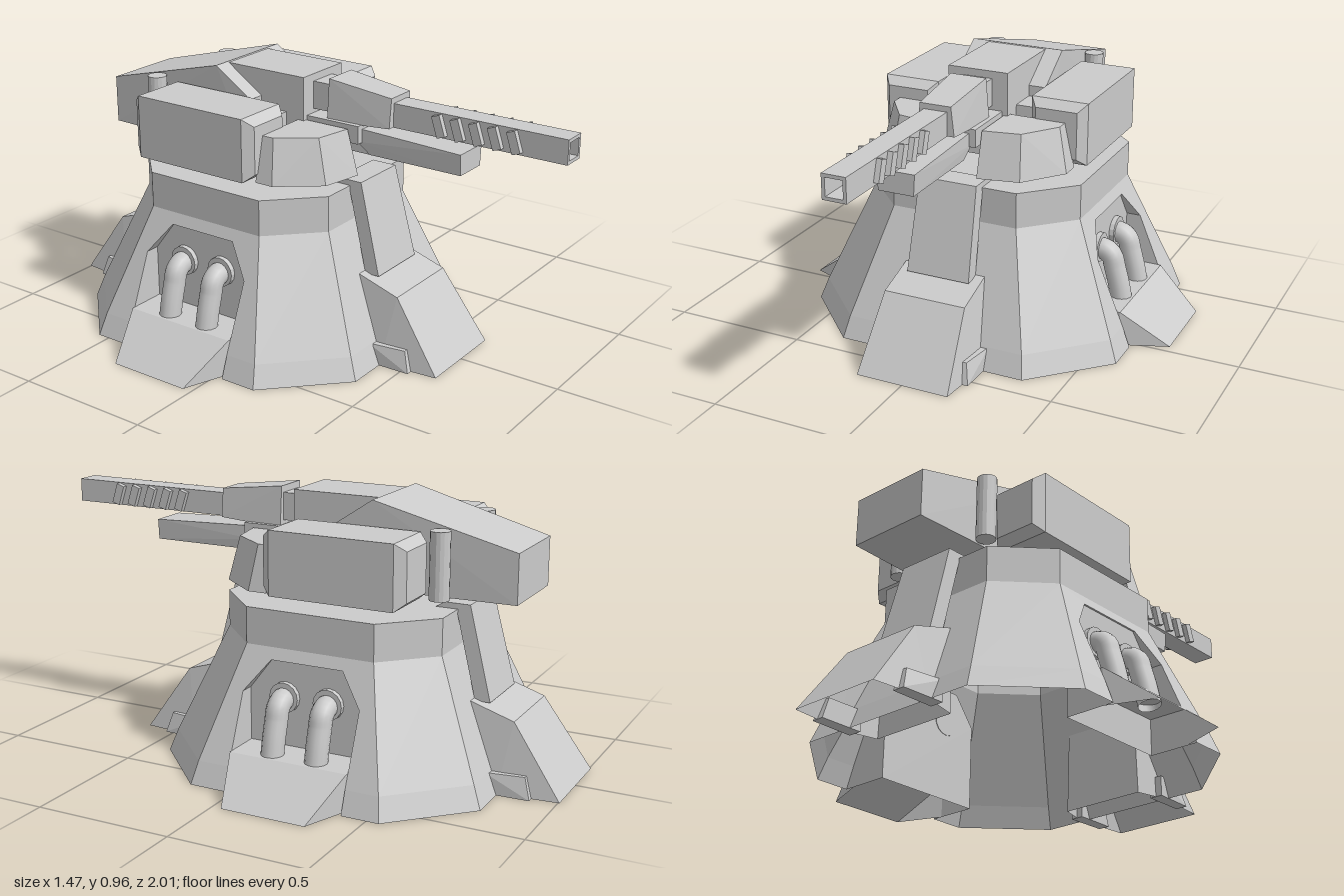
import * as THREE from 'three';
import { ConvexGeometry } from 'three/addons/geometries/ConvexGeometry.js';

const V = (x, y, z) => new THREE.Vector3(x, y, z);
const flat = new THREE.MeshStandardMaterial({ color: 0xcccccc, flatShading: true, side: THREE.DoubleSide });
const smooth = new THREE.MeshStandardMaterial({ color: 0xcccccc, side: THREE.DoubleSide });

function add(parent, name, geometry, material = flat) {
  const mesh = new THREE.Mesh(geometry, material);
  mesh.name = name;
  parent.add(mesh);
  return mesh;
}

function box(parent, name, [x0, x1], [y0, y1], [z0, z1]) {
  const mesh = add(parent, name, new THREE.BoxGeometry(x1 - x0, y1 - y0, z1 - z0));
  mesh.position.set((x0 + x1) / 2, (y0 + y1) / 2, (z0 + z1) / 2);
  return mesh;
}

function fromTriangles(points) {
  const g = new THREE.BufferGeometry().setFromPoints(points);
  g.computeVertexNormals();
  return g;
}

const quads = list => fromTriangles(list.flatMap(([a, b, c, d]) => [a, b, c, a, c, d]));

// Convex block from its corners; optionally left open underneath
function hull(points, openBottom = false) {
  const g = new ConvexGeometry(points);
  if (!openBottom) return g;
  const p = g.attributes.position, kept = [];
  for (let i = 0; i < p.count; i += 3) {
    const tri = [0, 1, 2].map(k => new THREE.Vector3().fromBufferAttribute(p, i + k));
    if (!tri.every(v => v.y < 1e-4)) kept.push(...tri);
  }
  return fromTriangles(kept);
}

// Both mirrored copies of [half width, y, z] corners
const sym = list => list.flatMap(([x, y, z]) => [V(x, y, z), V(-x, y, z)]);

// Base wall levels: [y, distance to wall, half width of the main walls]
const LEVELS = [[0, 0.605, 0.355], [0.08, 0.575, 0.34], [0.47, 0.41, 0.24], [0.6, 0.41, 0.24]];
const ring = ([y, a, h]) =>
  [[a, h], [h, a], [-h, a], [-a, h], [-a, -h], [-h, -a], [h, -a], [a, -h]].map(([x, z]) => V(x, y, z));

function wallX(y) {
  for (let i = 1; i < LEVELS.length; i++) {
    const [y0, a0] = LEVELS[i - 1], [y1, a1] = LEVELS[i];
    if (y <= y1) return a0 + (a1 - a0) * (y - y0) / (y1 - y0);
  }
  return LEVELS[3][1];
}

function wallPanel(points) {
  const g = new THREE.ShapeGeometry(new THREE.Shape(points.map(([u, y]) => new THREE.Vector2(u, y))));
  const p = g.attributes.position;
  for (let i = 0; i < p.count; i++) {
    const u = p.getX(i), y = p.getY(i);
    p.setXYZ(i, wallX(y), y, -u);
  }
  g.computeVertexNormals();
  return g;
}

// Side wall with an arched recess, two pipes and a sloping sill
function buildSide() {
  const side = new THREE.Group();
  side.name = 'sideBay';
  const inner = 0.42;
  const arch = [[-0.22, 0], [-0.22, 0.08], [-0.22, 0.32], [-0.135, 0.43],
    [0.135, 0.43], [0.22, 0.32], [0.22, 0.08], [0.22, 0]];
  add(side, 'upperSideWall', wallPanel([[-0.24, 0.47], [0.24, 0.47], [0.24, 0.6], [-0.24, 0.6]]));
  add(side, 'archedSideWall', wallPanel([[-0.34, 0.08], ...arch.slice(1, 7), [0.34, 0.08], [0.24, 0.47], [-0.24, 0.47]]));
  for (const s of [-1, 1])
    add(side, 'lowerSideWall', wallPanel([[s * 0.22, 0], [s * 0.355, 0], [s * 0.34, 0.08], [s * 0.22, 0.08]]));

  const strips = [];
  for (let i = 1; i < arch.length; i++) {
    const [u0, y0] = arch[i - 1], [u1, y1] = arch[i];
    strips.push([V(wallX(y0), y0, -u0), V(inner, y0, -u0), V(inner, y1, -u1), V(wallX(y1), y1, -u1)]);
  }
  add(side, 'recessRim', quads(strips));
  const back = new THREE.ShapeGeometry(new THREE.Shape(arch.map(([u, y]) => new THREE.Vector2(u, y))));
  back.rotateY(Math.PI / 2).translate(inner, 0, 0);
  add(side, 'recessBack', back);

  add(side, 'sill', hull([-1, 1].flatMap(s => [
    V(inner, 0, s * 0.22), V(inner, 0.13, s * 0.22), V(0.565, 0.13, s * 0.22),
    V(0.565, 0, s * 0.22), V(0.735, 0, s * 0.155)]), true));

  for (const z of [-0.083, 0.083]) {
    const path = new THREE.CatmullRomCurve3([V(inner, 0.3, z), V(0.45, 0.3, z), V(0.476, 0.28, z),
      V(0.488, 0.24, z), V(0.505, 0.18, z), V(0.52, 0.11, z)]);
    add(side, 'pipe', new THREE.TubeGeometry(path, 20, 0.04, 14), smooth);
    const flange = add(side, 'pipeFlange', new THREE.CylinderGeometry(0.054, 0.054, 0.02, 16), flat);
    flange.rotation.z = Math.PI / 2;
    flange.position.set(inner + 0.008, 0.305, z);
  }
  return side;
}

// Sloping foot with a tapered brace above it
function buildButtress() {
  const b = new THREE.Group();
  b.name = 'buttress';
  add(b, 'foot', hull(sym([[0.175, 0, 0.815], [0.195, 0, 0.6], [0.155, 0.25, 0.64],
    [0.155, 0.3, 0.48], [0.165, 0, 0.48]]), true));
  for (const s of [-1, 1])
    add(b, 'footFlange', hull([0, 0.075].flatMap(y => [V(s * 0.16, y, 0.56), V(s * 0.21, y, 0.56),
      V(s * (0.205 - y * 0.2), y, 0.72 - y * 0.3), V(s * 0.16, y, 0.72 - y * 0.3)])));
  add(b, 'brace', hull(sym([[0.12, 0.29, 0.54], [0.12, 0.29, 0.485], [0.11, 0.62, 0.455],
    [0.11, 0.585, 0.415], [0.11, 0.62, 0.40]])));
  add(b, 'braceCap', hull(sym([[0.11, 0.62, 0.455], [0.11, 0.62, 0.36], [0.11, 0.6, 0.33], [0.11, 0.6, 0.42]])));
  return b;
}

function buildBase() {
  const base = new THREE.Group();
  base.name = 'base';
  const rings = LEVELS.map(ring), walls = [];
  for (let l = 0; l < 3; l++)
    for (const i of [0, 1, 2, 4, 5, 6]) {
      const b = rings[l], t = rings[l + 1];
      walls.push([b[i + 1], b[i], t[i], t[i + 1]]);
    }
  add(base, 'baseWalls', quads(walls));
  const t = rings[3];
  add(base, 'baseTop', quads([[t[3], t[2], t[1], t[0]], [t[7], t[4], t[3], t[0]], [t[7], t[6], t[5], t[4]]]));
  for (const angle of [0, Math.PI])
    for (const part of [buildSide(), buildButtress()]) {
      part.rotation.y = angle;
      base.add(part);
    }
  base.position.z = -0.19;
  return base;
}

function buildTurret() {
  const turret = new THREE.Group();
  turret.name = 'turret';
  add(turret, 'rearHousing', hull(sym([[0.155, 0.65, -0.825], [0.155, 0.825, -0.825], [0.18, 0.96, -0.31],
    [0.18, 0.86, -0.16], [0.18, 0.65, -0.16]])));
  box(turret, 'frontHousing', [-0.115, 0.115], [0.64, 0.957], [-0.32, 0.025]);

  for (const s of [-1, 1]) {
    // Side pod with bevelled ends
    const pod = [[0.005, 0.028], [-0.03, 0], [-0.49, 0], [-0.525, 0.028]];
    add(turret, 'sidePod', hull(pod.flatMap(([z, d]) => [0.185 + d, 0.398 - d].flatMap(x =>
      [V(s * x, 0.642 + d, z), V(s * x, 0.87 - d, z)]))));
    box(turret, 'podMount', [s * 0.15 - 0.05, s * 0.15 + 0.05], [0.66, 0.82], [-0.45, -0.05]);
    const post = add(turret, 'rearPost', new THREE.CylinderGeometry(0.035, 0.035, 0.235, 16));
    post.position.set(s * 0.205, 0.768, -0.57);
    // Faceted cheek armour beside the gun
    add(turret, 'cheek', hull([[0.1, 0], [0.362, 0], [0.362, 0.07], [0.25, 0.215], [0.1, 0.245]].map(([x, z]) =>
      V(s * x, 0.64, z)).concat([[0.1, 0], [0.325, 0], [0.325, 0.05], [0.235, 0.175], [0.1, 0.2]].map(([x, z]) =>
      V(s * x, 0.8, z)))));
  }
  return turret;
}

function buildGun() {
  const gun = new THREE.Group();
  gun.name = 'gun';
  box(gun, 'neck', [-0.055, 0.055], [0.83, 0.93], [0.02, 0.11]);
  add(gun, 'receiver', hull(sym([[0.08, 0.805, 0.1], [0.068, 0.955, 0.1], [0.07, 0.82, 0.35], [0.058, 0.925, 0.35]])));

  // Square barrel with an open bore
  const square = (S, r) => new S([[-r, -r], [r, -r], [r, r], [-r, r]].map(([x, y]) => new THREE.Vector2(x, y)));
  const section = square(THREE.Shape, 0.043);
  section.holes.push(square(THREE.Path, 0.031));
  const barrel = add(gun, 'barrel', new THREE.ExtrudeGeometry(section, { depth: 0.66, bevelEnabled: false }));
  barrel.position.set(0, 0.862, 0.34);
  box(gun, 'boreEnd', [-0.035, 0.035], [0.83, 0.894], [0.34, 0.9]);
  for (let i = 0; i < 5; i++) {
    const fin = box(gun, 'barrelFin', [-0.062, 0.062], [0.824, 0.9], [-0.016, 0.016]);
    fin.position.z = 0.535 + i * 0.07;
    fin.rotation.x = -0.32;
  }

  // Lower guard and its mounting plate
  add(gun, 'lowerGuard', hull(sym([[0.07, 0.785, 0.63], [0.065, 0.71, 0.63], [0.065, 0.71, 0.27],
    [0.07, 0.75, 0.22], [0.07, 0.8, 0.2], [0.07, 0.785, 0.27]])));
  box(gun, 'gunPlate', [-0.095, 0.095], [0.75, 0.815], [0, 0.24]);
  return gun;
}

export function createModel() {
  const model = new THREE.Group();
  model.name = 'gunTurret';
  model.add(buildBase(), buildTurret(), buildGun());
  return model;
}
